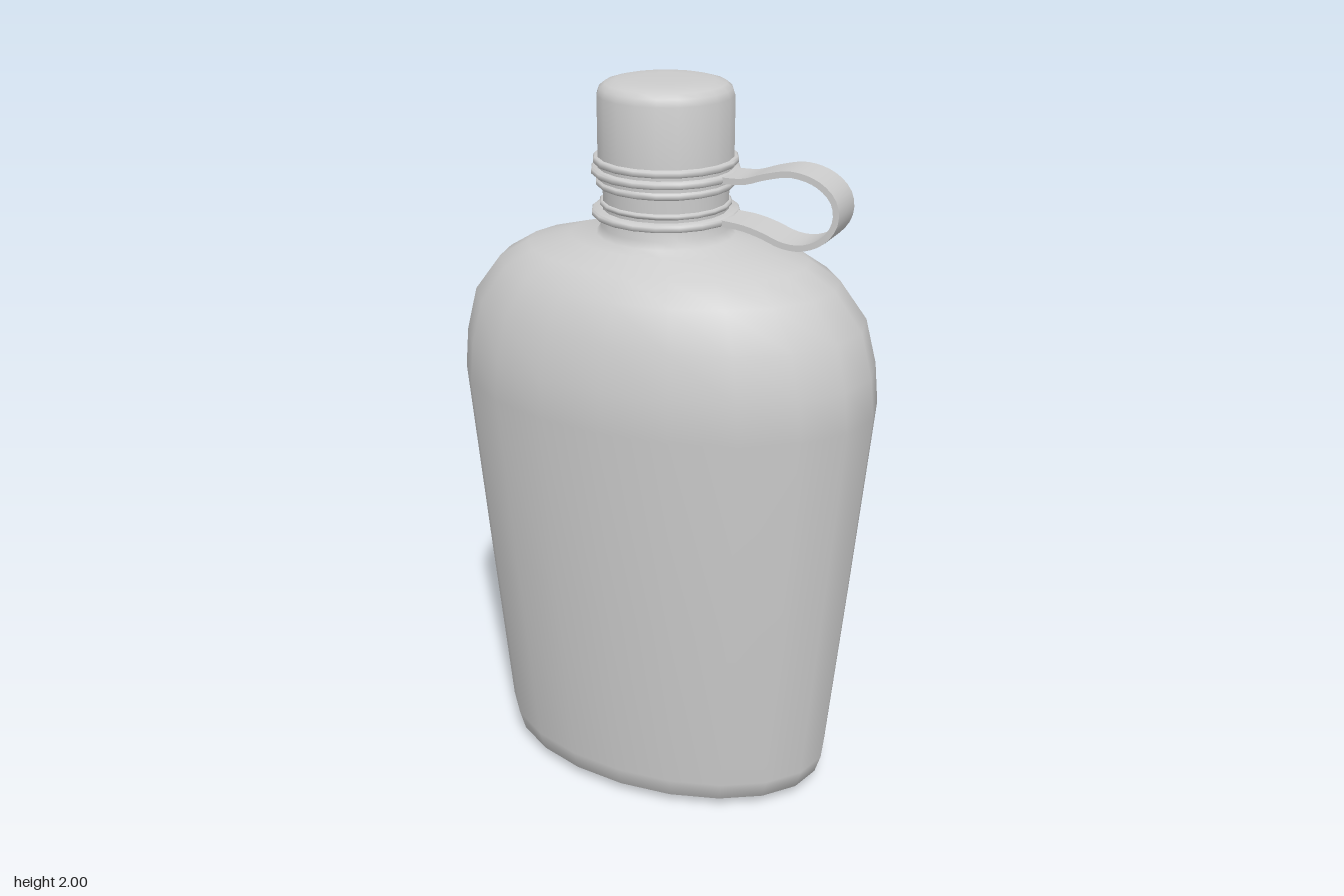
import * as THREE from 'three';
import { mergeVertices, toCreasedNormals } from 'three/addons/utils/BufferGeometryUtils.js';

const SIDES = 20;
const material = new THREE.MeshStandardMaterial({ color: 0xcccccc });

function addMesh(group, name, geometry) {
  const mesh = new THREE.Mesh(geometry, material);
  mesh.name = name;
  group.add(mesh);
}

// Lathe from [radius, y] pairs, bottom to top, with sharp edges kept
function turned(profile, crease = 0.7) {
  const points = profile.map(([r, y]) => new THREE.Vector2(r, y));
  return toCreasedNormals(new THREE.LatheGeometry(points, SIDES), crease);
}

// Oval lathe from [y, half width, half depth] sections
function ovalBody(sections) {
  const points = sections.map(([y, rx]) => new THREE.Vector2(rx, y));
  const geometry = new THREE.LatheGeometry(points, SIDES);
  const pos = geometry.attributes.position;
  for (let i = 0; i < pos.count; i++) {
    const [, rx, rz] = sections[i % sections.length];
    if (rx > 0) pos.setZ(i, pos.getZ(i) * rz / rx);
  }
  geometry.deleteAttribute('uv');
  geometry.deleteAttribute('normal');
  const merged = mergeVertices(geometry, 1e-5);
  merged.computeVertexNormals();
  return merged;
}

// Flat band following a curve in the xy plane
function band(points, thickness, width) {
  const curve = new THREE.CatmullRomCurve3(points.map(([x, y]) => new THREE.Vector3(x, y, 0)));
  const outer = [], inner = [], steps = 40;
  for (let i = 0; i <= steps; i++) {
    const p = curve.getPointAt(i / steps), t = curve.getTangentAt(i / steps);
    const dx = -t.y * thickness / 2, dy = t.x * thickness / 2;
    outer.push(new THREE.Vector2(p.x + dx, p.y + dy));
    inner.push(new THREE.Vector2(p.x - dx, p.y - dy));
  }
  const shape = new THREE.Shape([...outer, ...inner.reverse()]);
  const geometry = new THREE.ExtrudeGeometry(shape, { depth: width, bevelEnabled: false });
  geometry.translate(0, 0, -width / 2);
  return toCreasedNormals(geometry, 0.8);
}

export function createModel() {
  const model = new THREE.Group();
  model.name = 'canteen';

  // Tapered oval flask with rounded shoulders, running up into the neck
  addMesh(model, 'body', ovalBody([
    [0, 0, 0], [0, 0.36, 0.21], [0.004, 0.43, 0.265], [0.03, 0.483, 0.299], [0.085, 0.5, 0.311],
    [0.6, 0.547, 0.351], [1.17, 0.597, 0.391], [1.28, 0.586, 0.386], [1.4, 0.555, 0.363],
    [1.5, 0.478, 0.318], [1.55, 0.395, 0.258], [1.585, 0.265, 0.2],
    [1.6, 0.185, 0.178], [1.62, 0.17, 0.17], [1.65, 0.166, 0.166],
  ]));
  addMesh(model, 'neck', turned([[0.166, 1.64], [0.166, 1.82]]));

  // Screw cap with a softly rounded crown
  addMesh(model, 'cap', turned([
    [0, 1.725], [0.166, 1.725], [0.178, 1.735], [0.178, 1.96], [0.172, 1.978],
    [0.157, 1.99], [0.13, 1.997], [0.08, 2], [0, 2],
  ]));

  // Collar rings around the cap and neck: [name, y, radius, height]
  for (const [name, y, r, h] of [
    ['capRing', 1.796, 0.19, 0.018],
    ['upperStrapRing', 1.768, 0.195, 0.018],
    ['lowerCapRing', 1.738, 0.183, 0.018],
    ['neckRing', 1.683, 0.174, 0.014],
    ['lowerStrapRing', 1.658, 0.195, 0.018],
  ]) {
    const a = y - h / 2, b = y + h / 2;
    addMesh(model, name, turned([
      [0.16, a], [r - 0.004, a], [r, a + 0.004], [r, b - 0.004], [r - 0.004, b], [0.16, b],
    ], 0.9));
  }

  // Retaining strap looping from the cap to the neck
  addMesh(model, 'strap', band([
    [0.17, 1.768], [0.24, 1.771], [0.3, 1.79], [0.37, 1.803], [0.44, 1.785], [0.482, 1.745],
    [0.488, 1.695], [0.46, 1.648], [0.405, 1.62], [0.35, 1.62], [0.29, 1.64], [0.24, 1.652],
    [0.17, 1.658],
  ], 0.016, 0.113));

  return model;
}
